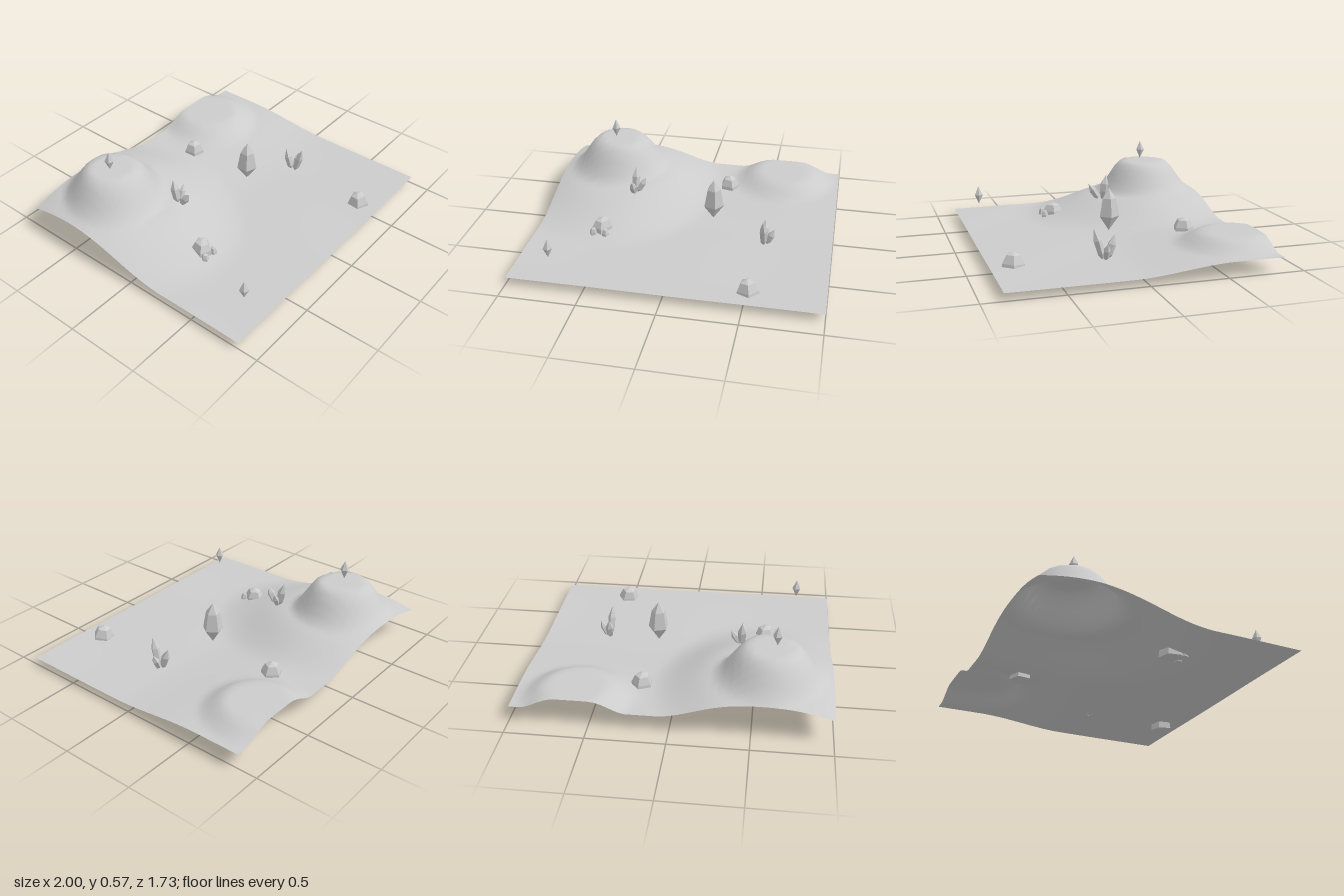
import * as THREE from 'three';

const smooth = new THREE.MeshStandardMaterial({ color: 0xcccccc, side: THREE.DoubleSide });
const faceted = new THREE.MeshStandardMaterial({ color: 0xcccccc, flatShading: true });
const { smoothstep, lerp, clamp } = THREE.MathUtils;

// Ground height: gentle rise to the back, broad hill, flat-topped mesa and low mound
function groundHeight(x, z) {
  let y = 0.05 + 0.05 * smoothstep(-z, -0.1, 0.55) + 0.003 * Math.sin(5 * x + 1) * Math.sin(4 * z);
  const dx = x + 0.55, dz = z + 0.5;
  const hill = Math.hypot(dx > 0 ? dx * 1.12 : dx, dz > 0 ? dz * 0.87 : dz);
  y += 0.13 * (1 - smoothstep(hill, 0.3, 0.8));
  const ramp = (r, inner, outer) => {
    const t = clamp((outer - r) / (outer - inner), 0, 1);
    return lerp(t, t * t * (3 - 2 * t), 0.6);
  };
  y = lerp(y, 0.428, ramp(Math.hypot(x + 0.6, z + 0.515), 0.165, 0.34));
  return lerp(y, 0.176, ramp(Math.hypot(x - 0.6, z + 0.7), 0.2, 0.36));
}

function makeGround() {
  const geo = new THREE.PlaneGeometry(2, 1.73, 44, 38).rotateX(-Math.PI / 2);
  const p = geo.attributes.position;
  for (let i = 0; i < p.count; i++) p.setY(i, groundHeight(p.getX(i), p.getZ(i)));
  geo.computeVertexNormals();
  const mesh = new THREE.Mesh(geo, smooth);
  mesh.name = 'ground';
  return mesh;
}

// Five-sided solid turned from [radius, height] pairs listed bottom to top
function turned(name, profile, x, y, z, spin = 0) {
  const geo = new THREE.LatheGeometry(profile.map(([r, h]) => new THREE.Vector2(r, h)), 5);
  const mesh = new THREE.Mesh(geo.rotateY(spin), faceted);
  mesh.position.set(x, y, z);
  mesh.name = name;
  return mesh;
}

// Pointed crystal between two points
function shard(from, to, r) {
  const a = new THREE.Vector3(...from), d = new THREE.Vector3(...to).sub(a), h = d.length();
  const mesh = turned('shard', [[0, 0], [r * 0.85, h * 0.2], [r, h * 0.62], [0, h]], ...from, 0.4);
  mesh.quaternion.setFromUnitVectors(new THREE.Vector3(0, 1, 0), d.normalize());
  return mesh;
}

function cluster(name, base, tips) {
  const group = new THREE.Group();
  group.name = name;
  tips.forEach(([x, y, z, r]) => {
    const from = [lerp(base[0], x, 0.2), base[1], lerp(base[2], z, 0.2)];
    group.add(shard(from, [x, y, z], r));
  });
  return group;
}

// Low domed rock with a flat underside
function rock(name, x, y, z, r, h, spin) {
  return turned(name, [[0, 0], [r, 0], [r * 0.94, h * 0.42], [r * 0.62, h * 0.85], [0, h]], x, y, z, spin);
}

export function createModel() {
  const model = new THREE.Group();
  model.add(makeGround());

  // Floating crystals
  model.add(turned('largeCrystal',
    [[0, 0.125], [0.07, 0.225], [0.048, 0.345], [0, 0.413]], 0.18, 0, 0, 0.3));
  const small = [[0, -0.065], [0.031, 0.003], [0, 0.068]];
  model.add(turned('mesaCrystal', small, -0.633, 0.503, -0.505, 0.3));
  model.add(turned('cornerCrystal', small, -0.76, 0.202, 0.715, 0.3));

  // Crystal clusters
  model.add(cluster('hillCluster', [-0.4, 0.2, -0.12], [
    [-0.4, 0.375, -0.165, 0.03], [-0.325, 0.31, -0.14, 0.022], [-0.4, 0.315, -0.03, 0.026]]));
  model.add(cluster('plainCluster', [0.55, 0.04, 0.14], [
    [0.542, 0.247, 0.212, 0.028], [0.615, 0.16, 0.14, 0.024], [0.545, 0.2, 0.075, 0.028]]));

  // Rocks
  model.add(rock('backRock', 0.215, 0.07, -0.52, 0.073, 0.112, 0.4));
  const front = rock('frontRock', 0.52, 0.01, 0.72, 0.077, 0.125, 0.2);
  front.rotation.set(-0.08, 0, 0.08);
  model.add(front);
  const rubble = new THREE.Group();
  rubble.name = 'rubble';
  const slab = rock('slab', -0.55, 0.06, 0.205, 0.068, 0.1, 0.7);
  slab.scale.z = 1.2;
  slab.rotation.y = -0.5;
  rubble.add(slab);
  for (const x of [-0.598, -0.515]) rubble.add(rock('pebble', x, 0.055, 0.272, 0.026, 0.06, x * 9));
  model.add(rubble);
  return model;
}
